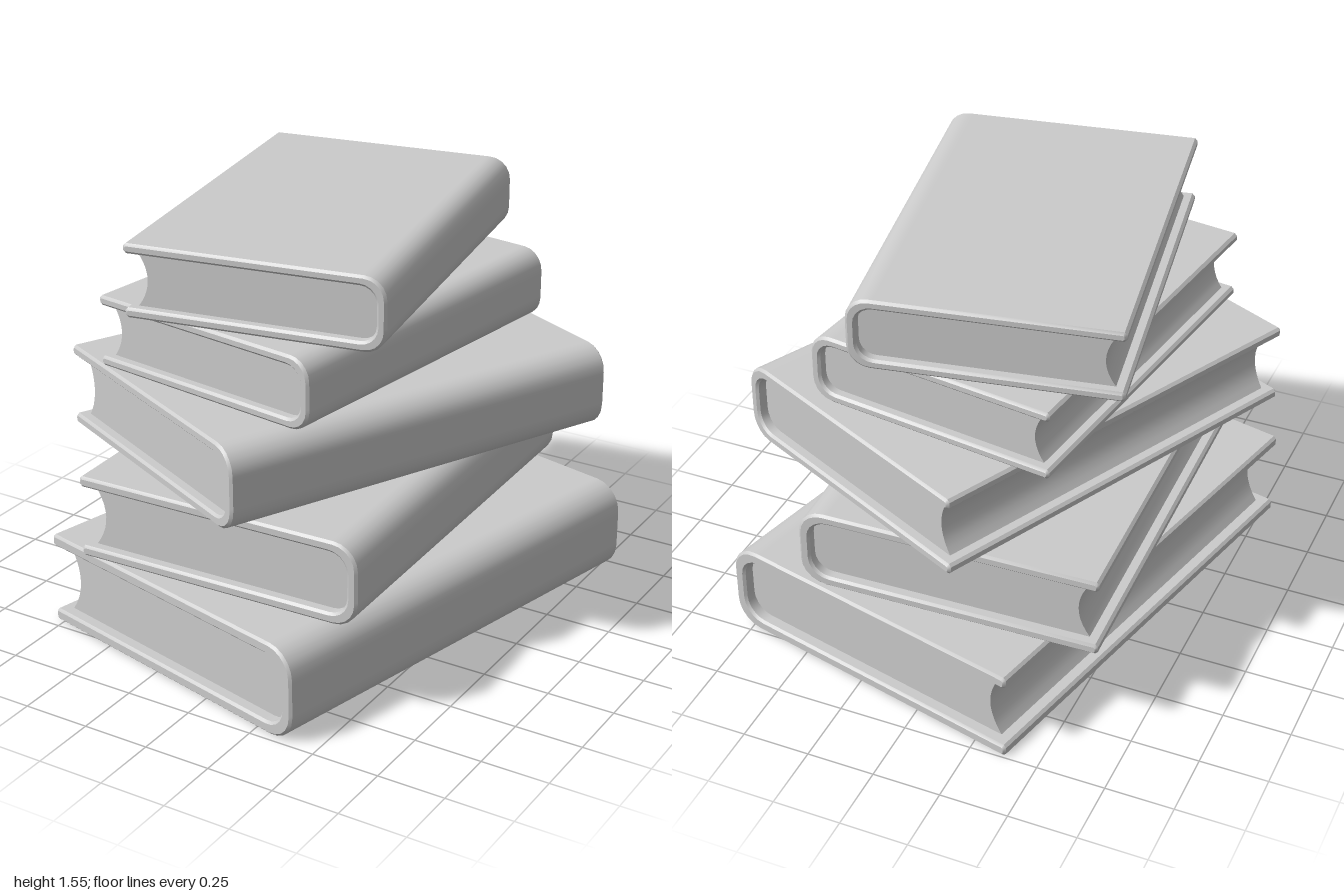
import * as THREE from 'three';
import { toCreasedNormals } from 'three/addons/utils/BufferGeometryUtils.js';

const material = new THREE.MeshStandardMaterial({ color: 0xcccccc });

// Bottom to top: size, cover thickness, base height, offset and turn in degrees
const BOOKS = [
  { w: 1.233, d: 1.757, h: 0.352, t: 0.046, y: 0, x: 0.017, z: 0, turn: -13.4 },
  { w: 1.11, d: 1.585, h: 0.31, t: 0.04, y: 0.367, x: -0.045, z: 0, turn: 1.8 },
  { w: 1.1, d: 1.575, h: 0.308, t: 0.04, y: 0.694, x: 0, z: 0, turn: -25.4 },
  { w: 0.942, d: 1.347, h: 0.262, t: 0.036, y: 1.017, x: -0.05, z: 0, turn: -8 },
  { w: 0.935, d: 1.35, h: 0.265, t: 0.036, y: 1.288, x: -0.05, z: -0.003, turn: 10 },
];

// Points of an arc with a short lead-in and lead-out, which keeps the flat sides flat
function roundedSpine(x, h, r) {
  const points = [[x - r - 0.015, -h]];
  for (const side of [-1, 1]) {
    const cy = side * (h - r);
    for (let i = 0; i <= 5; i++) {
      const a = (side < 0 ? i / 5 - 1 : i / 5) * Math.PI / 2;
      points.push([x - r + r * Math.cos(a), cy + r * Math.sin(a)]);
    }
    if (side < 0) points.push([x, cy + 0.01], [x, -cy - 0.01]);
  }
  points.push([x - r - 0.015, h]);
  return points;
}

// Extrudes an outline along z, centred, with an optional edge chamfer
function extrude(points, depth, bevel, name) {
  const shape = new THREE.Shape(points.map(([x, y]) => new THREE.Vector2(x, y)));
  const geometry = new THREE.ExtrudeGeometry(shape, {
    depth: depth - 2 * bevel,
    bevelEnabled: bevel > 0,
    bevelThickness: bevel,
    bevelSize: bevel,
    bevelOffset: -bevel,
    bevelSegments: 1,
  });
  geometry.translate(0, 0, -depth / 2 + bevel);
  const mesh = new THREE.Mesh(toCreasedNormals(geometry, 0.6), material);
  mesh.name = name;
  return mesh;
}

function createBook({ w, d, h, t, y, x, z, turn }) {
  const book = new THREE.Group();
  const half = h / 2, right = w / 2, left = -w / 2;
  const r = h * 0.3, c = 0.01;

  // Cover: both boards and the rounded spine as one C-shaped profile
  const outer = roundedSpine(right, half, r);
  const inner = roundedSpine(right - t, half - t, r - t * 0.6).reverse();
  const cover = [
    [left, -half + c], [left + c, -half],
    ...outer,
    [left + c, half], [left, half - c],
    [left, half - t + c], [left + c, half - t],
    ...inner,
    [left + c, -half + t], [left, -half + t - c],
  ];
  book.add(extrude(cover, d, 0.009, 'cover'));

  // Pages: fills the cover, set back from its edges, with a hollow fore edge
  const ph = half - t + 0.002;
  const pages = roundedSpine(right - t + 0.002, ph, r - t * 0.6);
  for (let i = 0; i <= 10; i++) {
    const s = 1 - i / 5;
    pages.push([left + t + h * 0.14 * (1 - s * s), ph * s]);
  }
  book.add(extrude(pages, d - 2 * t, 0, 'pages'));

  book.position.set(x, y + half, z);
  book.rotation.y = THREE.MathUtils.degToRad(turn);
  return book;
}

export function createModel() {
  const stack = new THREE.Group();
  stack.name = 'bookStack';
  BOOKS.forEach((spec, i) => {
    const book = createBook(spec);
    book.name = `book${i + 1}`;
    stack.add(book);
  });
  return stack;
}
